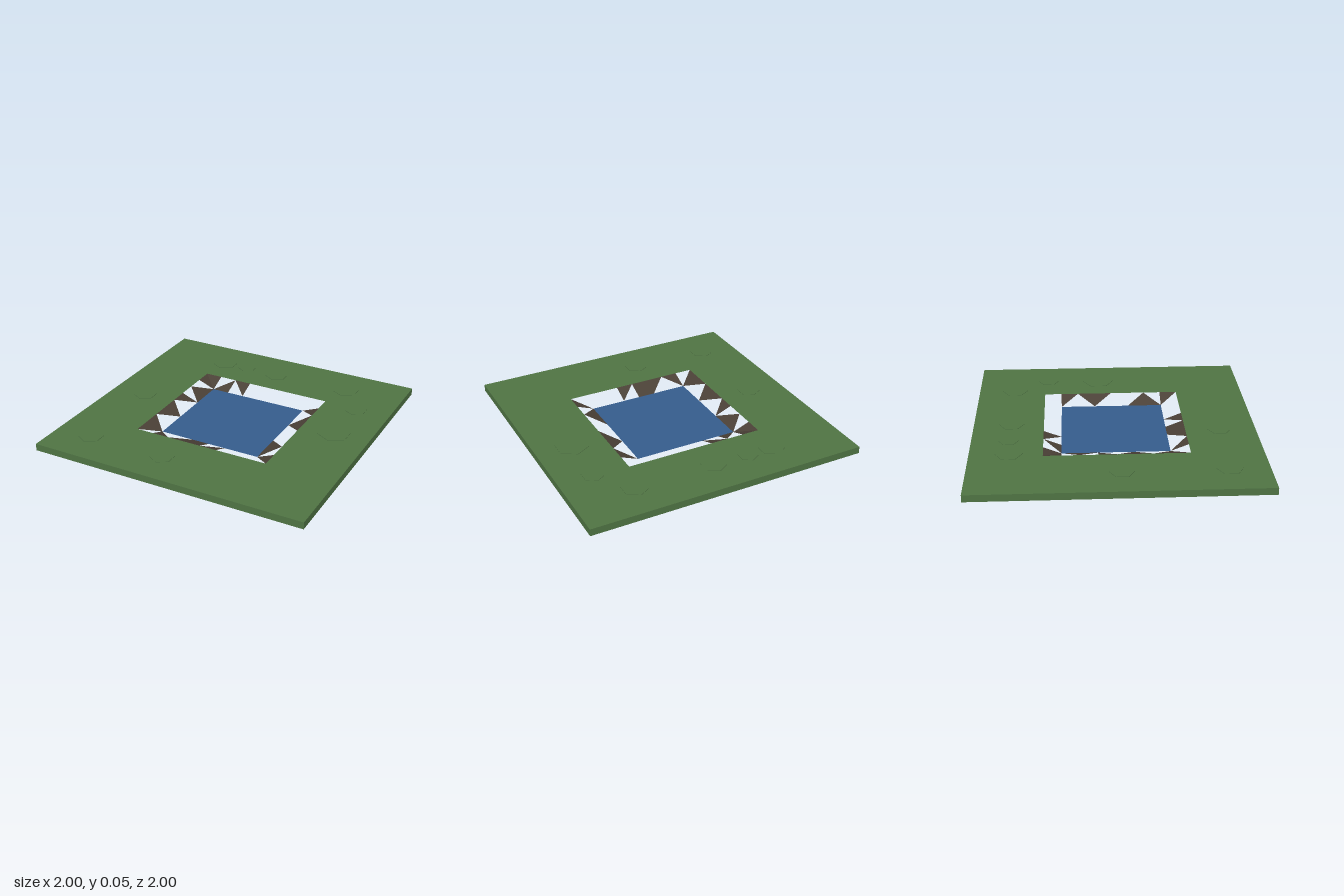
import * as THREE from 'three';

const TOP = 0.05;   // height of the ground surface
const CELL = 0.125; // bank grid size

function material(name, color) {
  const m = new THREE.MeshStandardMaterial({ color, side: THREE.DoubleSide, flatShading: true });
  m.name = name;
  return m;
}

export function createModel() {
  const model = new THREE.Group();
  const grass = material('grass green', 0x4f7343);
  const earth = material('earth brown', 0x4a4036);
  const blue = material('water blue', 0x355c8c);

  const add = (name, geometry, mat, x = 0, y = 0, z = 0) => {
    const mesh = new THREE.Mesh(geometry, mat);
    mesh.name = name;
    mesh.position.set(x, y, z);
    model.add(mesh);
    return mesh;
  };
  const square = (Path, r) => new Path([[-r, -r], [r, -r], [r, r], [-r, r]].map(p => new THREE.Vector2(...p)));

  // Ground sheet with a square opening
  const sheet = square(THREE.Shape, 1);
  sheet.holes.push(square(THREE.Path, 0.5));
  add('ground', new THREE.ShapeGeometry(sheet).rotateX(-Math.PI / 2), grass, 0, TOP, 0);

  // Outer skirt, open underneath
  for (let i = 0; i < 4; i++) {
    const wall = new THREE.PlaneGeometry(2, TOP).translate(0, TOP / 2, 1).rotateY(i * Math.PI / 2);
    add('groundEdge', wall, grass);
  }

  // Pond surface
  add('water', new THREE.PlaneGeometry(0.75, 0.75).rotateX(-Math.PI / 2), blue);

  // Sloping bank facets: [column, row, omitted cell corners]
  const facets = [
    [0, 0, 1], [0, 0, 3], [1, 0, 0], [2, 0, 3],
    [0, 1, 0], [0, 2, 3], [0, 3, 2], [0, 4, 1], [0, 5, 2], [0, 6, 1], [0, 7, 2],
    [1, 7, 1], [2, 7, 0], [3, 7, 0], [3, 7, 2], [4, 7, 0], [7, 7, 3],
    [7, 6, 2], [7, 5, 1], [7, 3, 3], [7, 2, 0], [7, 1, 3],
  ];
  const corners = [[0, 0], [0, 1], [1, 1], [1, 0]]; // anticlockwise from above
  const order = [0, 3, 2, 1];                       // omitted corner to list index
  const points = [];
  for (const [i, j, omit] of facets) {
    corners.forEach(([a, b], k) => {
      if (k === order[omit]) return;
      const x = (i + a) * CELL - 0.5, z = (j + b) * CELL - 0.5;
      const rim = Math.max(Math.abs(x), Math.abs(z)) > 0.45;
      points.push(x, rim ? TOP : 0, z);
    });
  }
  const bank = new THREE.BufferGeometry();
  bank.setAttribute('position', new THREE.Float32BufferAttribute(points, 3));
  bank.computeVertexNormals();
  add('bank', bank, earth);

  // Low six-sided grass patches: [x, z, radius]
  const patches = [
    [-0.46, -0.73, 0.095], [-0.27, -0.74, 0.07], [-0.01, -0.73, 0.09],
    [-0.74, 0.02, 0.085], [0.57, -0.73, 0.095], [0.75, -0.475, 0.08],
    [0.74, -0.09, 0.12], [-0.73, 0.73, 0.09], [-0.15, 0.74, 0.085],
  ];
  for (const [x, z, r] of patches) {
    add('grassPatch', new THREE.CylinderGeometry(r, r, 0.003, 6), grass, x, TOP + 0.0015, z);
  }
  return model;
}
